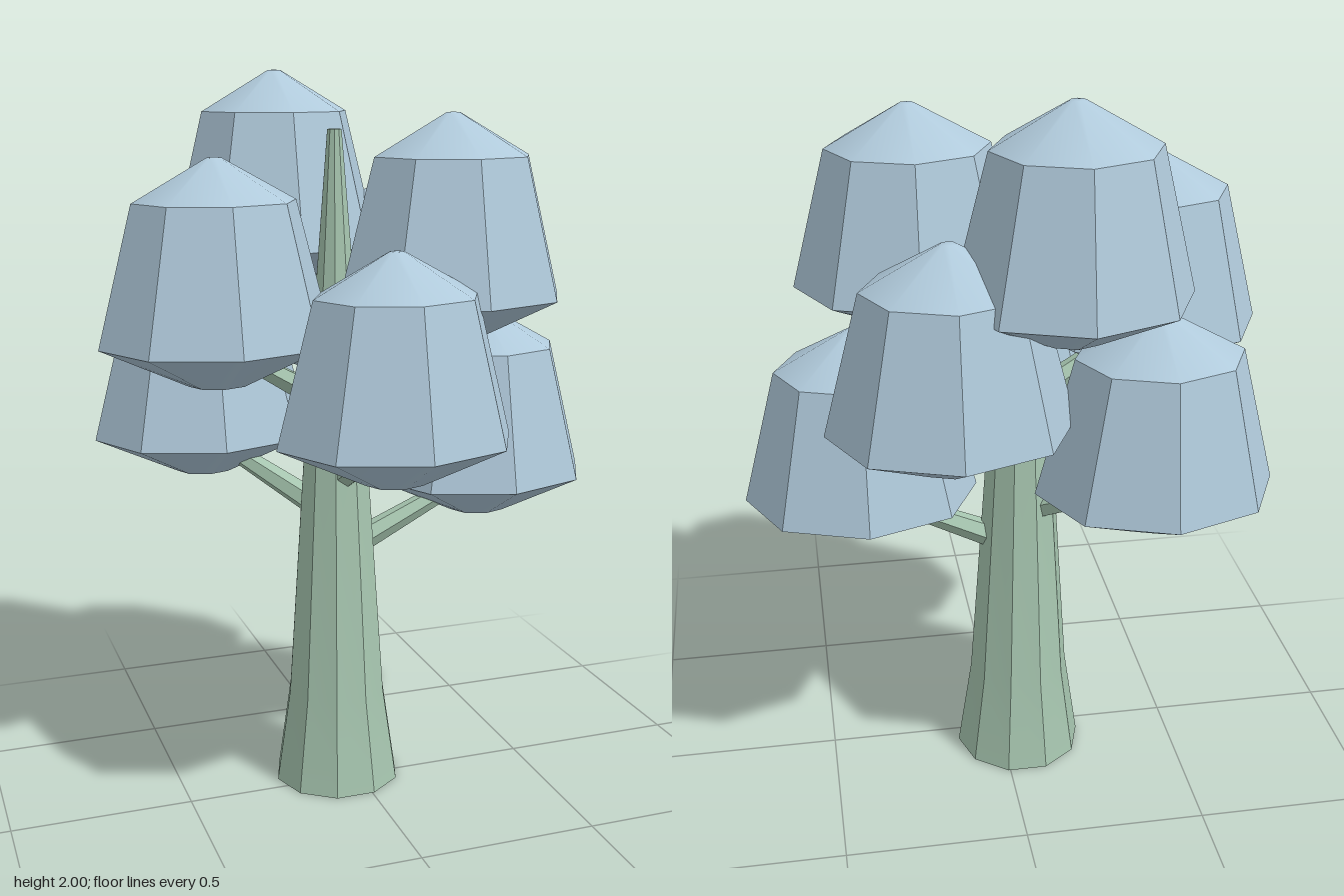
import * as THREE from 'three';
import { toCreasedNormals } from 'three/addons/utils/BufferGeometryUtils.js';

const CREASE = Math.PI / 6;
const TRUNK_X = -0.05, TRUNK_Z = -0.05;

// Faceted solid of revolution from [radius, height] pairs, listed bottom to top
function turned(profile, sides) {
  const points = profile.map(([r, y]) => new THREE.Vector2(r, y));
  return new THREE.LatheGeometry(points, sides);
}

export function createModel() {
  const foliage = new THREE.MeshStandardMaterial({ color: 0xb0cadb });
  foliage.name = 'paleBlueFoliage';
  const bark = new THREE.MeshStandardMaterial({ color: 0xa6c5af });
  bark.name = 'paleGreenBark';

  const tree = new THREE.Group();
  tree.name = 'tree';
  const add = (geometry, material, name) => {
    const mesh = new THREE.Mesh(toCreasedNormals(geometry, CREASE), material);
    mesh.name = name;
    tree.add(mesh);
    return mesh;
  };

  // Ten-sided trunk, flared at the foot and thin at the tip
  const trunk = turned([[0, 0], [0.18, 0], [0.14, 0.27], [0.09, 1], [0.02, 1.85], [0, 1.85]], 10);
  trunk.rotateY(Math.PI / 2);
  add(trunk, bark, 'trunk').position.set(TRUNK_X, 0, TRUNK_Z);

  // Leaf clump outline, with height measured from its widest ring
  const clumpProfile = [[0, -0.11], [0.08, -0.11], [0.315, 0], [0.218, 0.37], [0.02, 0.48], [0, 0.482]];

  // x, height of widest ring, z, width factor
  const clumps = [
    [-0.02, 1.09, 0.34, 1],
    [0.385, 0.875, -0.05, 1],
    [0.218, 1.415, 0.12, 1],
    [-0.392, 1.305, 0.005, 1],
    [-0.13, 1.52, -0.337, 0.96],
    [-0.355, 0.985, -0.335, 1],
    [0.174, 1.195, -0.342, 1],
  ];

  clumps.forEach(([x, y, z, width], i) => {
    // Eight-sided clump, narrower front to back
    const clump = turned(clumpProfile, 8);
    clump.scale(width, 1, 0.83);
    add(clump, foliage, `leafClump${i + 1}`).position.set(x, y, z);

    // Branch rising from the trunk axis into the clump
    const start = new THREE.Vector3(TRUNK_X, y - 0.205, TRUNK_Z);
    const path = new THREE.Vector3(x, y, z).sub(start);
    const length = path.length();
    const branch = new THREE.CylinderGeometry(0.022, 0.04, length, 6);
    branch.translate(0, length / 2, 0);
    const mesh = add(branch, bark, `branch${i + 1}`);
    mesh.position.copy(start);
    mesh.quaternion.setFromUnitVectors(new THREE.Vector3(0, 1, 0), path.normalize());
  });

  return tree;
}
